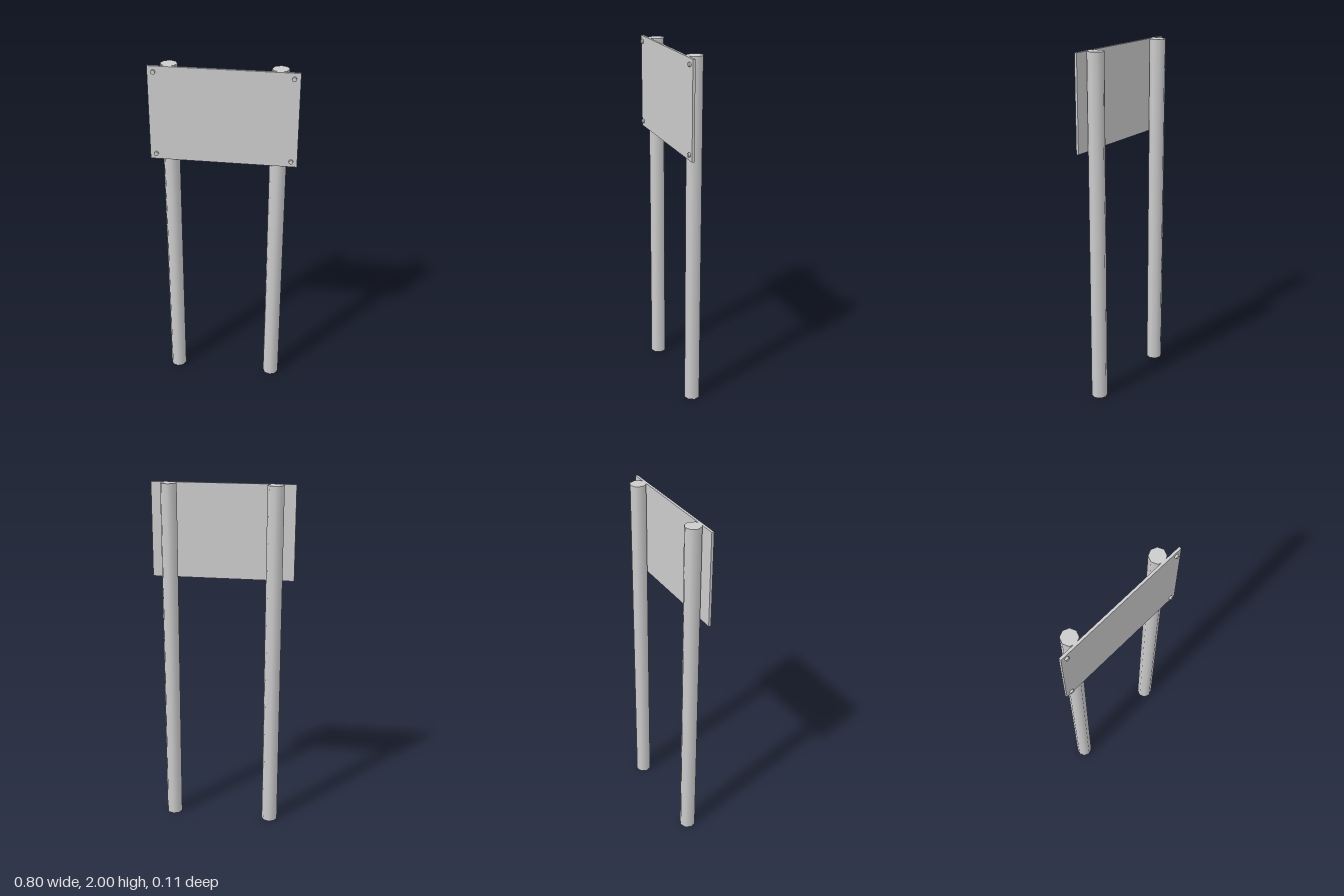
import * as THREE from 'three';

export function createModel() {
  const group = new THREE.Group();
  const grey = new THREE.MeshStandardMaterial({ color: 0xcccccc });
  grey.name = 'light grey';

  const add = (name, geometry, x, y, z) => {
    const mesh = new THREE.Mesh(geometry, grey);
    mesh.name = name;
    mesh.position.set(x, y, z);
    group.add(mesh);
    return mesh;
  };

  // Flat sign panel
  add('signPanel', new THREE.BoxGeometry(0.8, 0.53, 0.014), 0, 1.735, 0.036);

  // Eight-sided posts and the bolt heads in the panel corners
  const post = new THREE.CylinderGeometry(0.046, 0.046, 2, 8);
  const bolt = new THREE.CylinderGeometry(0.0125, 0.0125, 0.012, 8).rotateX(Math.PI / 2);
  for (const [side, s] of [['left', 1], ['right', -1]]) {
    add(side + 'Post', post, s * 0.293, 1, -0.011);
    add(side + 'UpperBolt', bolt, s * 0.367, 1.969, 0.048);
    add(side + 'LowerBolt', bolt, s * 0.367, 1.502, 0.048);
  }
  return group;
}
